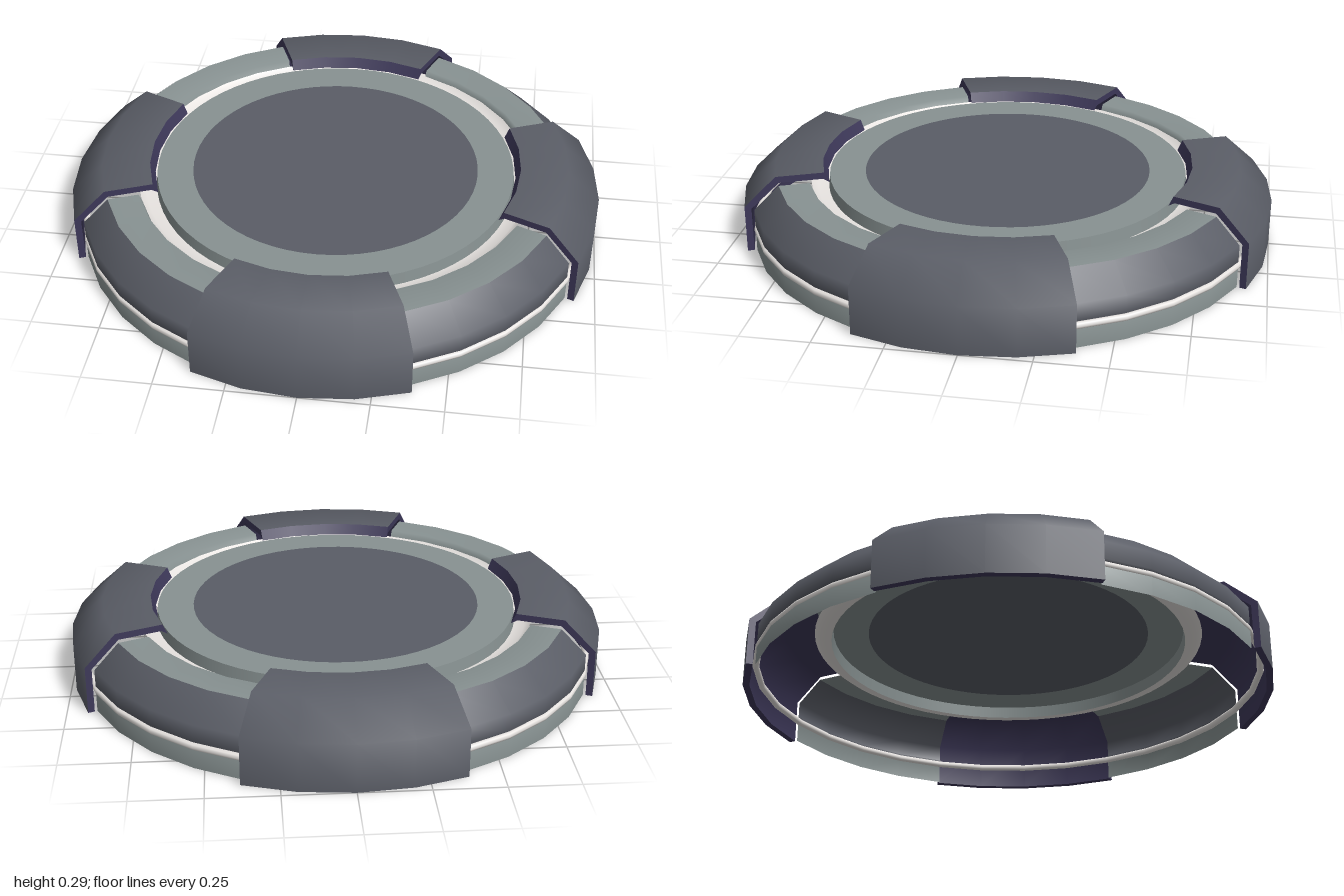
import * as THREE from 'three';

const mat = (name, color) => {
  const m = new THREE.MeshStandardMaterial({ color, side: THREE.DoubleSide });
  m.name = name;
  return m;
};

export function createModel() {
  const dark = mat('dark grey', 0x5a5d66);
  const light = mat('light grey', 0x889292);
  const purple = mat('deep purple', 0x3d3859);
  const white = mat('warm white', 0xf0ece9);

  const model = new THREE.Group();
  model.name = 'roundPad';

  const add = (parent, name, geometry, material) => {
    const mesh = new THREE.Mesh(geometry, material);
    mesh.name = name;
    parent.add(mesh);
    return mesh;
  };
  // Revolve [radius, height] points over part of a turn
  const revolve = (points, segments, start = 0, length = Math.PI * 2) =>
    new THREE.LatheGeometry(points.map(p => new THREE.Vector2(...p)), segments, start, length);

  // Central plate: dark disc, light rim with a short skirt
  add(model, 'centreDisc', revolve([[0.54, 0.25], [0, 0.25]], 64), dark);
  add(model, 'centreRim', revolve([[0.675, 0.25], [0.54, 0.25]], 64), light);
  add(model, 'centreRimEdge', revolve([[0.68, 0.205], [0.675, 0.25]], 64), light);

  // White gutter between the plate and the outer ring
  add(model, 'innerGlowRing', revolve([[0.745, 0.23], [0.72, 0.21], [0.68, 0.205]], 64), white);

  // White band around the outside
  const band = add(model, 'outerGlowBand', new THREE.TorusGeometry(0.957, 0.013, 8, 32), white);
  band.rotation.x = Math.PI / 2;
  band.position.y = 0.08;

  // Closed cross-section of a cover: outer skin, then inner skin back down
  const outer = [[1, 0], [1, 0.18], [0.88, 0.29], [0.7, 0.29]];
  const lip = [[0.7, 0.29], [0.682, 0.25]];
  const inner = [[0.975, 0], [0.975, 0.17], [0.868, 0.265], [0.705, 0.265], [0.682, 0.25]];
  const section = new THREE.Shape(
    [...outer, ...inner.slice().reverse()].map(p => new THREE.Vector2(...p)));

  const arc = Math.PI / 4;
  for (let i = 0; i < 4; i++) {
    const middle = i * Math.PI / 2;
    const start = middle - arc / 2;

    // Raised cover with a purple lining
    const cover = new THREE.Group();
    cover.name = 'cover' + (i + 1);
    model.add(cover);
    add(cover, 'coverSkin', revolve(outer, 4, start, arc), dark);
    add(cover, 'coverLip', revolve(lip, 4, start, arc), purple);
    add(cover, 'coverLining', revolve(inner, 4, start, arc), purple);
    add(cover, 'coverBottomEdge', revolve([[0.975, 0], [1, 0]], 4, start, arc), purple);
    for (const angle of [start, start + arc]) {
      const end = add(cover, 'coverEnd', new THREE.ShapeGeometry(section), purple);
      end.rotation.y = angle - Math.PI / 2;
    }

    // Ring segment showing between two covers
    const ring = new THREE.Group();
    ring.name = 'ringSegment' + (i + 1);
    model.add(ring);
    const from = start + arc;
    add(ring, 'ringFoot', revolve([[0.965, 0], [0.965, 0.07], [0.95, 0.075]], 4, from, arc), light);
    add(ring, 'ringGroove', revolve([[0.95, 0.075], [0.95, 0.095]], 4, from, arc), dark);
    add(ring, 'ringSide', revolve([[0.95, 0.095], [0.965, 0.1], [0.965, 0.165], [0.87, 0.253]], 4, from, arc), dark);
    add(ring, 'ringTop', revolve([[0.87, 0.253], [0.755, 0.253], [0.745, 0.23]], 4, from, arc), light);
  }
  return model;
}
